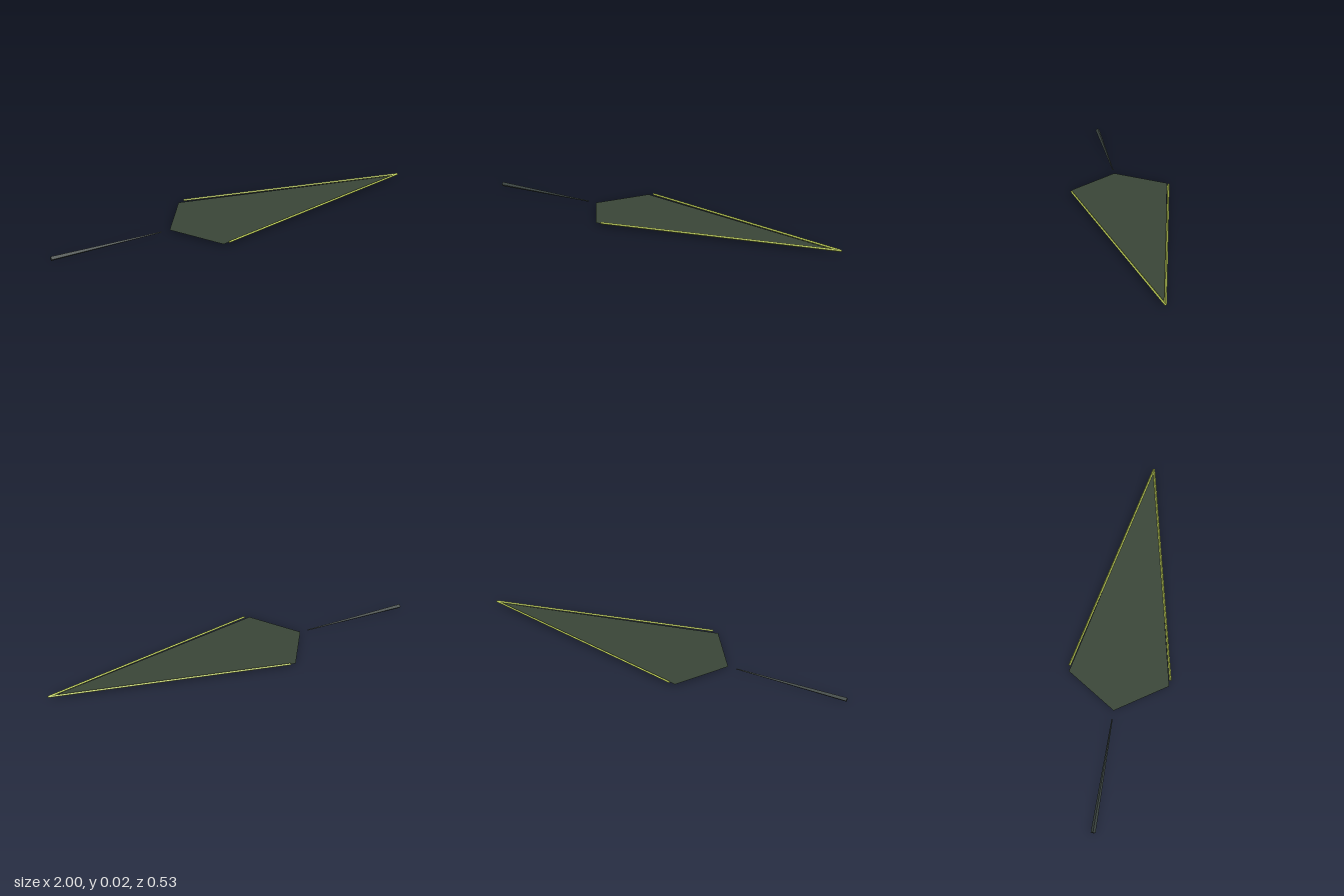
import * as THREE from 'three';

export function createModel() {
  const model = new THREE.Group();
  model.name = 'dartKite';

  const material = (name, color, extra = {}) => {
    const m = new THREE.MeshStandardMaterial({ color, flatShading: true, ...extra });
    m.name = name;
    return m;
  };
  const darkGreen = material('dark green panel', 0x394537, { side: THREE.DoubleSide });
  const limeGreen = material('lime green trim', 0xb6c653);
  const charcoal = material('charcoal tail', 0x39423f);

  const add = (name, geometry, mat) => {
    const mesh = new THREE.Mesh(geometry, mat);
    mesh.name = name;
    model.add(mesh);
    return mesh;
  };

  // Flat kite-shaped panel, a single sheet facing up
  const outline = new THREE.Shape([
    new THREE.Vector2(1, 0),
    new THREE.Vector2(-0.21, 0.257),
    new THREE.Vector2(-0.38, 0),
    new THREE.Vector2(-0.21, -0.257),
  ]);
  const panel = new THREE.ShapeGeometry(outline);
  panel.rotateX(-Math.PI / 2);
  add('panel', panel, darkGreen).position.y = 0.012;

  // Four-sided rods along the two long edges, just above the panel
  for (const [name, side] of [['frontEdgeRod', 1], ['backEdgeRod', -1]]) {
    const from = new THREE.Vector3(-0.18, 0.018, side * 0.259);
    const to = new THREE.Vector3(0.999, 0.018, 0);
    const dir = to.clone().sub(from);
    const rod = new THREE.CylinderGeometry(0.006, 0.006, dir.length(), 4);
    rod.rotateZ(-Math.PI / 2);
    const mesh = add(name, rod, limeGreen);
    mesh.rotation.y = Math.atan2(-dir.z, dir.x);
    mesh.position.copy(from).add(to).multiplyScalar(0.5);
  }

  // Four-sided tapered tail, widening away from the panel
  const tail = new THREE.CylinderGeometry(0.003, 0.012, 0.575, 4);
  tail.rotateZ(-Math.PI / 2);
  add('tail', tail, charcoal).position.set(-0.7125, 0.012, 0);

  return model;
}
